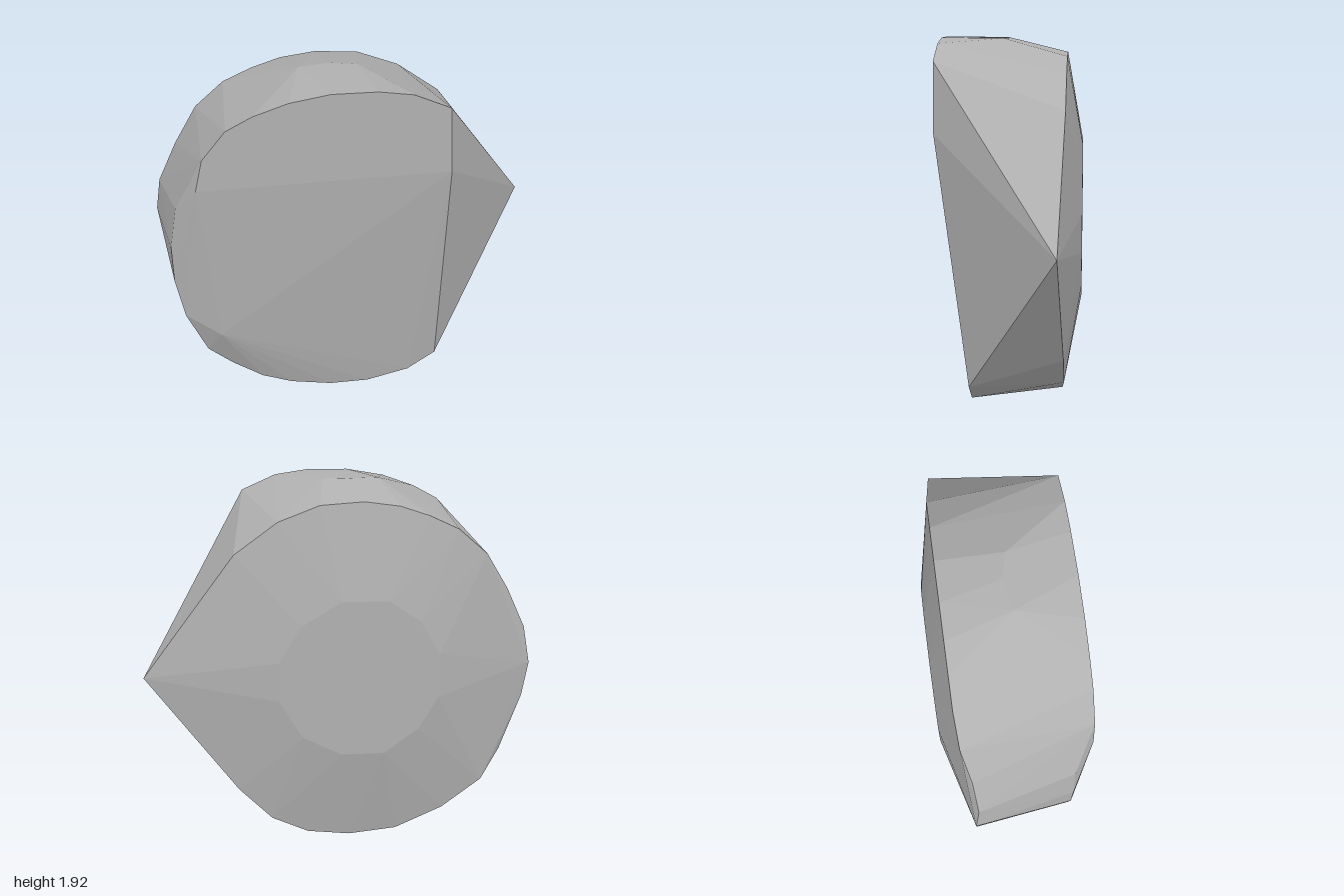
import * as THREE from 'three';
import { ConvexGeometry } from 'three/addons/geometries/ConvexGeometry.js';

// Turns [x, y, z?] rows into points; rows without z use the ring's depth
const ring = (depth, rows) => rows.map(([x, y, z = depth]) => new THREE.Vector3(x, y, z));

export function createModel() {
  const group = new THREE.Group();
  group.name = 'facetedStone';
  const grey = new THREE.MeshStandardMaterial({ color: 0xb0b0b0 });
  grey.name = 'stone grey';

  // Upper edge of the front face
  const frontTop = ring(0.365, [
    [0.49, 1.47], [0.47, 1.82], [0.29, 1.9], [0.12, 1.925], [-0.1, 1.925],
    [-0.3, 1.89], [-0.47, 1.83], [-0.6, 1.76], [-0.72, 1.61], [-0.76, 1.44],
  ]);
  // Bevelled left side of the front face
  const frontLeft = ring(0.27, [
    [-0.87, 1.29], [-0.91, 1.06], [-0.91, 0.85], [-0.87, 0.62],
    [-0.69, 0.5, 0.305], [-0.77, 0.34, 0.22],
  ]);
  // Lower edge of the front face
  const frontBottom = ring(0.2, [
    [-0.64, 0.21], [-0.48, 0.1], [-0.32, 0.04], [-0.1, 0.003],
    [0.11, 0.008], [0.34, 0.07], [0.49, 0.18],
  ]);
  // Small ridge across the top
  const crown = ring(0.05, [[-0.23, 1.92], [-0.07, 1.92, 0.02], [0.06, 1.92]]);
  // Rim around the back, with the pointed tip
  const rim = ring(-0.28, [
    [1, 0.96, -0.255], [0.53, 1.59], [0.31, 1.75], [0.1, 1.83], [-0.12, 1.845],
    [-0.3, 1.82], [-0.45, 1.77], [-0.6, 1.7], [-0.75, 1.57, -0.27],
    [-0.87, 1.38, -0.23], [-0.97, 1.17, -0.215], [-1, 0.98, -0.235],
    [-0.97, 0.8, -0.23], [-0.86, 0.5, -0.23], [-0.76, 0.34, -0.26],
    [-0.55, 0.19, -0.27], [-0.3, 0.08, -0.27], [-0.05, 0.055, -0.27],
    [0.17, 0.08, -0.27], [0.36, 0.17], [0.53, 0.34],
  ]);
  // Flat plateau on the back
  const plateau = ring(-0.365, [
    [-0.24, 1.36], [0, 1.36], [0.2, 1.24], [0.32, 1.05], [0.32, 0.85], [0.2, 0.65],
    [0, 0.55], [-0.22, 0.55], [-0.4, 0.68], [-0.5, 0.85], [-0.5, 1.08], [-0.4, 1.25],
  ]);

  // Flat facets stretched over all the rings
  const stone = new THREE.Mesh(
    new ConvexGeometry([...frontTop, ...frontLeft, ...frontBottom, ...crown, ...rim, ...plateau]),
    grey,
  );
  stone.name = 'stone';
  group.add(stone);
  return group;
}
